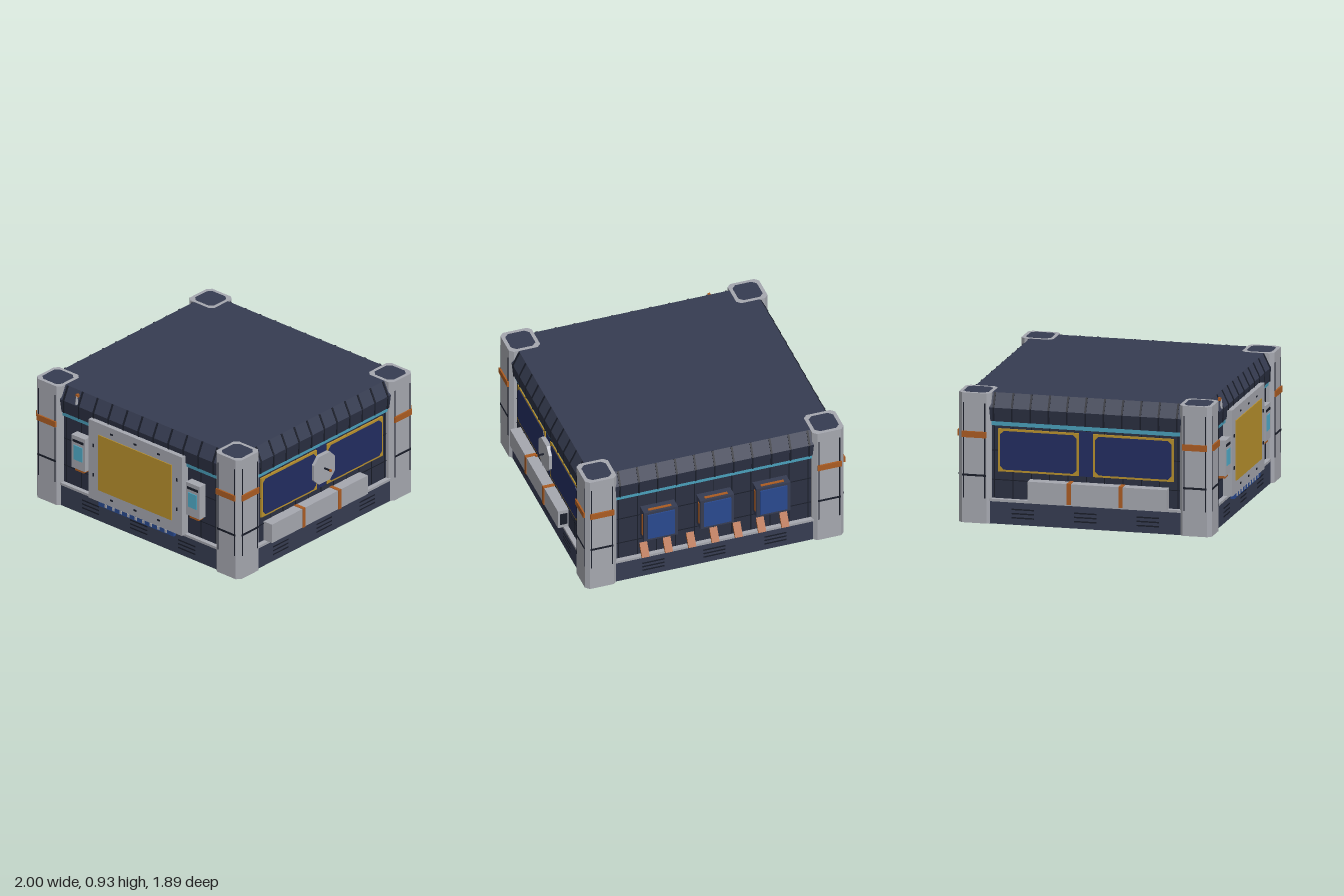
import * as THREE from 'three';

const mat = (name, color) => {
  const m = new THREE.MeshStandardMaterial({ color });
  m.name = name;
  return m;
};

export function createModel() {
  const gray = mat('light gray', 0xa5a7af), navy = mat('navy', 0x363c51), wallC = mat('wall navy', 0x2b3042),
    dark = mat('dark', 0x191d29), cyan = mat('cyan', 0x4fabc8), gold = mat('gold', 0xb8902d),
    orange = mat('orange', 0xab5c22), deep = mat('deep blue', 0x222d60), blue = mat('blue', 0x29498f);

  const model = new THREE.Group();
  model.name = 'building';
  model.position.set(-0.007, 0, 0.008);

  const add = (parent, name, geo, m) => {
    const mesh = new THREE.Mesh(geo, m);
    mesh.name = name;
    parent.add(mesh);
    return mesh;
  };
  // box from min and max corners
  const box = (p, name, m, x0, x1, y0, y1, z0, z1) => {
    const b = add(p, name, new THREE.BoxGeometry(x1 - x0, y1 - y0, z1 - z0), m);
    b.position.set((x0 + x1) / 2, (y0 + y1) / 2, (z0 + z1) / 2);
    return b;
  };
  // rectangular ring tapering from one level to another
  const taper = (name, m, y0, x0, z0, y1, x1, z1) => {
    const g = new THREE.BoxGeometry(2, 1, 2), p = g.attributes.position;
    for (let i = 0; i < p.count; i++) {
      const top = p.getY(i) > 0;
      p.setXYZ(i, p.getX(i) * (top ? x1 : x0), top ? y1 : y0, p.getZ(i) * (top ? z1 : z0));
    }
    g.computeVertexNormals();
    return add(model, name, g, m);
  };
  // rectangle with cut corners, extruded along z
  const cutPlate = (w, h, c, d) => {
    const s = new THREE.Shape([[-w, c - h], [c - w, -h], [w - c, -h], [w, c - h], [w, h - c], [w - c, h], [c - w, h], [-w, h - c]]
      .map(([x, y]) => new THREE.Vector2(x, y)));
    return new THREE.ExtrudeGeometry(s, { depth: d, bevelEnabled: false });
  };

  // core body
  taper('base', navy, 0, 0.935, 0.888, 0.16, 0.935, 0.888);
  taper('ledge', gray, 0.16, 0.94, 0.893, 0.178, 0.94, 0.893);
  taper('walls', wallC, 0.178, 0.905, 0.86, 0.73, 0.905, 0.86);
  taper('lightStrip', cyan, 0.7, 0.92, 0.875, 0.732, 0.925, 0.88);
  taper('eaves', wallC, 0.732, 0.932, 0.885, 0.83, 0.94, 0.893);
  taper('roof', navy, 0.83, 0.94, 0.893, 0.93, 0.89, 0.845);

  // corner pillars with bands and rails
  for (const sx of [-1, 1]) for (const sz of [-1, 1]) {
    const g = new THREE.Group();
    g.name = 'cornerPillar';
    g.position.set(sx * 0.839, 0, sz * 0.795);
    model.add(g);
    const prism = (name, m, r, c, y, h) => {
      const geo = cutPlate(r, r, c, h).rotateX(-Math.PI / 2);
      add(g, name, geo, m).position.y = y;
    };
    prism('pillarBody', gray, 0.116, 0.028, 0.001, 0.93);
    prism('pillarCap', navy, 0.09, 0.03, 0.929, 0.003);
    prism('pillarFoot', dark, 0.1, 0.03, 0, 0.005);
    for (const side of [0, 1]) {
      const f = new THREE.Group();
      f.name = 'pillarFace';
      f.rotation.y = side ? sx * Math.PI / 2 : (sz > 0 ? 0 : Math.PI);
      g.add(f);
      box(f, 'orangeBand', orange, -0.088, 0.088, 0.613, 0.657, 0.11, 0.128);
      box(f, 'darkBand', dark, -0.085, 0.085, 0.336, 0.35, 0.11, 0.12);
      for (const x of [-0.077, 0.077]) box(f, 'rail', dark, x - 0.004, x + 0.004, 0.18, 0.86, 0.11, 0.119);
    }
  }

  // details repeated on all four sides; local +z points outward
  const makeSide = (name, angle, wall, half) => {
    const s = new THREE.Group();
    s.name = name;
    s.rotation.y = angle;
    model.add(s);
    for (let i = -5; i <= 5; i++) {
      const x = i * half / 5.15;
      const rib = box(s, 'roofRib', dark, x - 0.007, x + 0.007, -0.055, 0.055, -0.004, 0.006);
      rib.position.set(x, 0.88, wall + 0.009);
      rib.rotation.x = -0.45;
      box(s, 'eaveRib', dark, x - 0.005, x + 0.005, 0.735, 0.83, wall + 0.02, wall + 0.035);
      box(s, 'wallSeam', dark, x - 0.003, x + 0.003, 0.18, 0.7, wall - 0.005, wall + 0.003);
    }
    for (const y of [0.31, 0.52]) box(s, 'wallSeam', dark, -half, half, y - 0.003, y + 0.003, wall - 0.005, wall + 0.003);
    for (const x of [-0.45, 0, 0.45]) for (const y of [0.05, 0.08, 0.11])
      box(s, 'baseVent', dark, x - 0.08, x + 0.08, y - 0.005, y + 0.005, wall + 0.02, wall + 0.031);
    return s;
  };
  const front = makeSide('frontSide', 0, 0.86, 0.72);
  const back = makeSide('backSide', Math.PI, 0.86, 0.72);
  const left = makeSide('leftSide', Math.PI / 2, 0.905, 0.68);
  const right = makeSide('rightSide', -Math.PI / 2, 0.905, 0.68);

  // front display
  box(front, 'displayFrame', gray, -0.436, 0.436, 0.175, 0.79, 0.86, 0.925);
  box(front, 'displayScreen', gold, -0.342, 0.342, 0.268, 0.7, 0.92, 0.932);
  for (const x of [-0.22, 0, 0.22]) for (const y of [0.225, 0.742]) box(front, 'clip', dark, x - 0.012, x + 0.012, y - 0.006, y + 0.006, 0.92, 0.93);
  for (const x of [-0.39, 0.39]) for (const y of [0.37, 0.6]) box(front, 'clip', dark, x - 0.006, x + 0.006, y - 0.012, y + 0.012, 0.92, 0.93);
  box(front, 'lightBar', blue, -0.35, 0.35, 0.137, 0.177, 0.88, 0.917);
  for (let i = -4; i <= 4; i++) box(front, 'lamp', gray, i * 0.07 - 0.01, i * 0.07 + 0.01, 0.145, 0.169, 0.91, 0.921);

  // wall terminals either side of the display
  for (const s of [-1, 1]) {
    const t = new THREE.Group();
    t.name = 'terminal';
    t.position.x = s * 0.536;
    front.add(t);
    box(t, 'terminalCase', gray, -0.064, 0.064, 0.358, 0.613, 0.86, 0.922);
    box(t, 'terminalScreen', cyan, -0.04, 0.04, 0.428, 0.54, 0.918, 0.928);
    box(t, 'terminalSlot', dark, -0.05, 0.05, 0.565, 0.583, 0.918, 0.926);
    box(t, 'terminalTray', orange, -0.042, 0.042, 0.335, 0.358, 0.86, 0.91);
  }

  // small mast on the front eave
  add(front, 'mast', new THREE.CylinderGeometry(0.005, 0.012, 0.06, 8), gray).position.set(-0.583, 0.87, 0.885);
  box(front, 'mastTip', orange, -0.592, -0.574, 0.893, 0.915, 0.865, 0.885);

  // back machine units and struts
  for (const x of [-0.415, 0, 0.415]) {
    const u = new THREE.Group();
    u.name = 'machineUnit';
    u.position.x = x;
    back.add(u);
    box(u, 'unitCase', navy, -0.125, 0.125, 0.345, 0.59, 0.86, 0.946);
    box(u, 'unitFace', blue, -0.1, 0.1, 0.365, 0.57, 0.94, 0.955);
    box(u, 'unitTrim', orange, -0.085, 0.085, 0.342, 0.595, 0.907, 0.927);
    box(u, 'unitTrim', orange, -0.13, 0.13, 0.385, 0.56, 0.907, 0.927);
  }
  for (let i = -3; i <= 3; i++) {
    const strut = box(back, 'strut', orange, -0.028, 0.028, -0.055, 0.055, -0.008, 0.008);
    strut.position.set(i * 0.172, 0.222, 0.882);
    strut.rotation.x = -0.55;
  }

  // side banners and storage lockers
  for (const [side, d] of [[left, -1], [right, 1]]) {
    box(side, 'bannerLink', deep, -0.05, 0.05, 0.37, 0.69, 0.9, 0.912);
    for (const h of [-1, 1]) {
      const cx = h * 0.342;
      box(side, 'bannerFrame', gold, cx - 0.29, cx + 0.29, 0.372, 0.678, 0.9, 0.918);
      add(side, 'bannerPanel', cutPlate(0.275, 0.138, 0.025, 0.006), deep).position.set(cx, 0.525, 0.916);
    }
    const c = d * 0.097;
    box(side, 'locker', gray, c - 0.5, c + 0.5, 0.182, 0.327, 0.9, 0.984);
    const e = c - d * 0.5;
    box(side, 'lockerEnd', dark, e - 0.006, e + 0.006, 0.21, 0.3, 0.915, 0.97);
    for (const z of [-0.105, 0.267])
      box(side, 'lockerStrap', orange, d * z - 0.014, d * z + 0.014, 0.18, 0.331, 0.9, 0.99);
  }

  // octagonal dish plate with rod on the left side
  add(left, 'dishPlate', cutPlate(0.108, 0.108, 0.05, 0.035), gray).position.set(-0.005, 0.528, 0.91);
  box(left, 'dishRod', dark, -0.01, 0, 0.523, 0.533, 0.94, 1.0);
  box(left, 'dishRodTip', orange, -0.012, 0.002, 0.521, 0.535, 0.993, 1.007);

  const root = new THREE.Group();
  root.name = 'model';
  root.add(model);
  return root;
}
